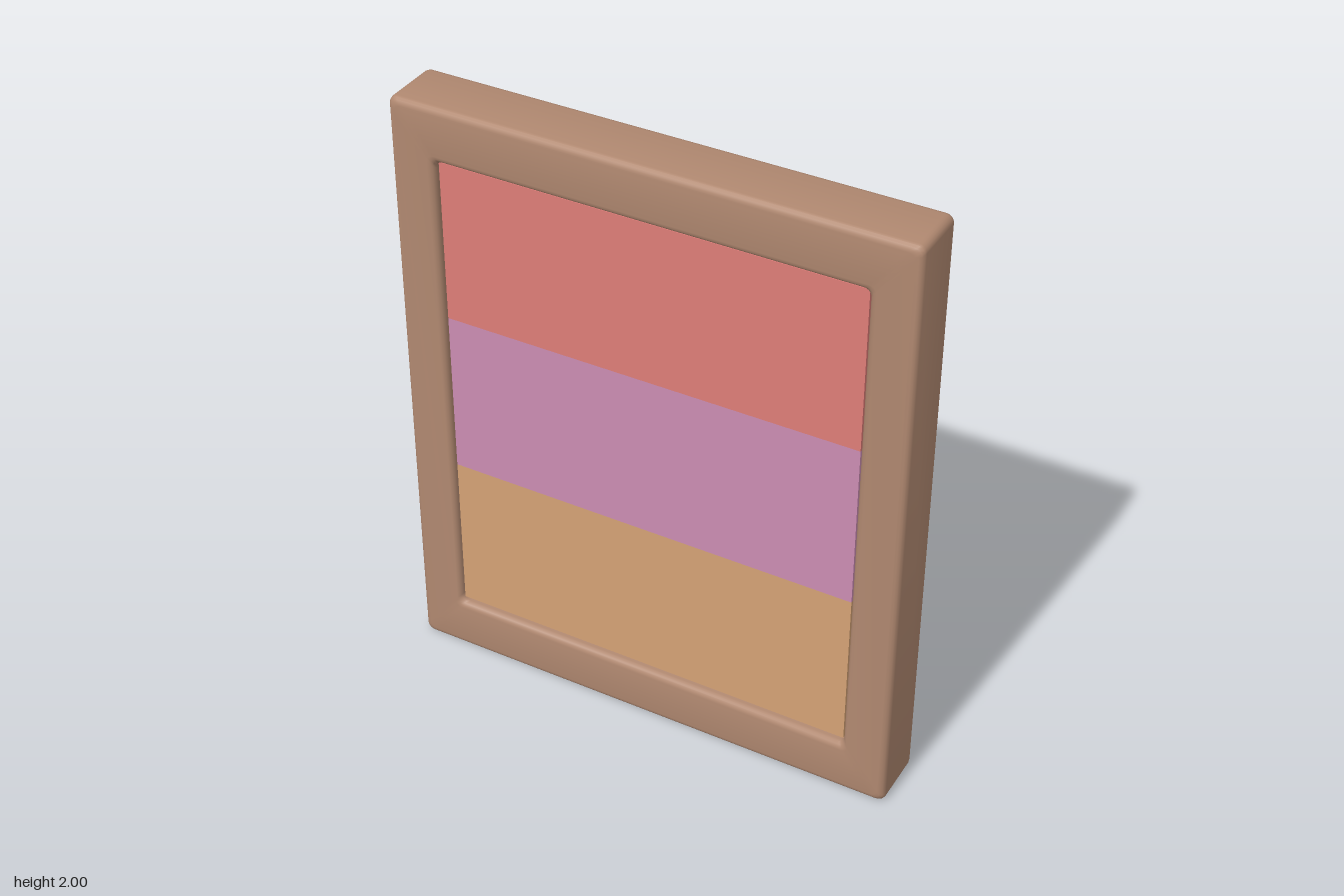
import * as THREE from 'three';
import { toCreasedNormals } from 'three/addons/utils/BufferGeometryUtils.js';

const W = 0.835, H = 1, D = 0.105; // half sizes

// Rounded rectangle outline, counter-clockwise seen from the front
function ring(hw, hh, z, radius, steps = 5) {
  const r = Math.min(radius, hw, hh), points = [];
  [[1, 1], [-1, 1], [-1, -1], [1, -1]].forEach(([sx, sy], corner) => {
    for (let k = 0; k <= steps; k++) {
      const a = (corner + k / steps) * Math.PI / 2;
      points.push([sx * (hw - r) + r * Math.cos(a), H + sy * (hh - r) + r * Math.sin(a), z]);
    }
  });
  return points;
}

// Skin between successive rings
function loft(rings) {
  const n = rings[0].length, index = [];
  for (let i = 0; i < rings.length - 1; i++) {
    for (let j = 0; j < n; j++) {
      const a = i * n + j, b = i * n + (j + 1) % n;
      index.push(a, b, b + n, a, b + n, a + n);
    }
  }
  const geometry = new THREE.BufferGeometry();
  geometry.setAttribute('position', new THREE.Float32BufferAttribute(rings.flat(2), 3));
  geometry.setIndex(index);
  return toCreasedNormals(geometry, 0.7);
}

export function createModel() {
  const model = new THREE.Group();
  model.name = 'framedPanel';
  const add = (name, geometry, color) => {
    const mesh = new THREE.Mesh(geometry, new THREE.MeshStandardMaterial({ color }));
    mesh.name = name;
    model.add(mesh);
    return mesh;
  };

  // Frame: profile of [side inset, top and bottom inset, z], from back centre to recess floor
  const profile = [[W, H, -D]];
  const bevel = 0.022, steps = 4;
  const arc = (insetX, insetY, z, from, to) => {
    for (let k = 0; k <= steps; k++) {
      const a = from + (to - from) * k / steps;
      profile.push([insetX - bevel * Math.cos(a), insetY - bevel * Math.cos(a), z + bevel * Math.sin(a)]);
    }
  };
  const q = Math.PI / 2;
  arc(bevel, bevel, -D + bevel, -q, 0);                 // back outer edge
  arc(bevel, bevel, D - bevel, 0, q);                   // front outer edge
  arc(0.147 - bevel, 0.178 - bevel, D - bevel, q, 2 * q); // opening edge
  profile.push([0.147, 0.178, 0.04], [W, H, 0.04]);     // recess wall and floor
  add('frame', loft(profile.map(([ix, iy, z]) => ring(W - ix, H - iy, z, 0.024))), 0xb08870);

  // Three coloured bands filling the recess
  [
    ['upperBand', 1.28, 1.817, 0xde7d78],
    ['middleBand', 0.73, 1.28, 0xcb8db3],
    ['lowerBand', 0.19, 0.73, 0xd5a275],
  ].forEach(([name, y0, y1, color]) => {
    const band = add(name, new THREE.BoxGeometry(1.365, y1 - y0, 0.05), color);
    band.position.set(0, (y0 + y1) / 2, 0.06);
  });
  return model;
}
